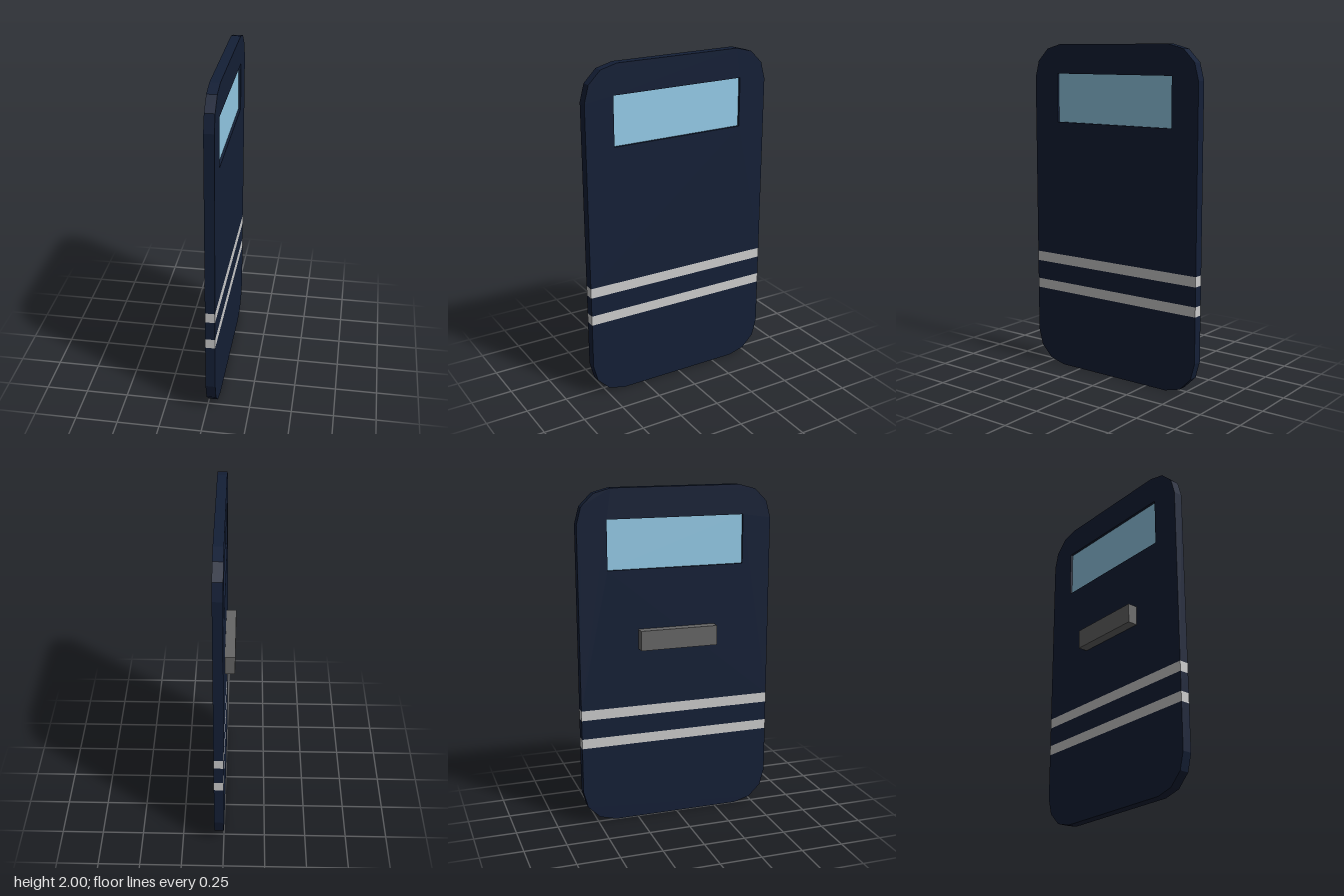
import * as THREE from 'three';

const T = 0.057;   // plate thickness
const W = 0.588;   // half width
const R = 0.2;     // corner radius
const mat = (color) => new THREE.MeshStandardMaterial({ color, flatShading: true });

// Points of a rounded corner made of three straight facets
function corner(cz, cy, start) {
  return [0, 1, 2, 3].map((i) => {
    const a = start + (i * Math.PI) / 6;
    return new THREE.Vector2(cz + R * Math.cos(a), cy + R * Math.sin(a));
  });
}

// Horizontal slice of the plate, with optional rounded bottom or top
function slice(y0, y1, roundBottom, roundTop) {
  const c = W - R;
  const v = (z, y) => new THREE.Vector2(z, y);
  const bottom = roundBottom
    ? [...corner(-c, y0 + R, Math.PI), ...corner(c, y0 + R, Math.PI * 1.5)]
    : [v(-W, y0), v(W, y0)];
  const top = roundTop
    ? [...corner(c, y1 - R, 0), ...corner(-c, y1 - R, Math.PI / 2)]
    : [v(W, y1), v(-W, y1)];
  return new THREE.Shape([...bottom, ...top]);
}

export function createModel() {
  const model = new THREE.Group();
  model.name = 'shield';
  const navy = mat(0x141f36), grey = mat(0xcccccc), glass = mat(0x94cbe8), dark = mat(0x666666);

  const add = (name, geometry, material) => {
    const mesh = new THREE.Mesh(geometry, material);
    mesh.name = name;
    model.add(mesh);
    return mesh;
  };
  const plate = (name, shape, material) => add(name,
    new THREE.ExtrudeGeometry(shape, { depth: T, bevelEnabled: false }).rotateY(Math.PI / 2), material);

  // Plate body with flush stripes between its sections
  plate('lowerPlate', slice(0, 0.476, true, false), navy);
  plate('lowerStripe', slice(0.476, 0.535, false, false), grey);
  plate('middlePlate', slice(0.535, 0.651, false, false), navy);
  plate('upperStripe', slice(0.651, 0.711, false, false), grey);
  const upper = slice(0.711, 2, false, true);
  const [wz, wy0, wy1] = [0.414, 1.534, 1.825];
  upper.holes.push(new THREE.Path([
    new THREE.Vector2(-wz, wy0), new THREE.Vector2(-wz, wy1),
    new THREE.Vector2(wz, wy1), new THREE.Vector2(wz, wy0),
  ]));
  plate('upperPlate', upper, navy);

  // Pane recessed on both faces of the window opening
  add('window', new THREE.BoxGeometry(0.028, wy1 - wy0, wz * 2), glass)
    .position.set(T / 2, (wy0 + wy1) / 2, 0);

  // Grip block on the inner face
  add('handle', new THREE.BoxGeometry(0.059, 0.118, 0.47), dark)
    .position.set(-0.0295, 1.121, 0);

  return model;
}
